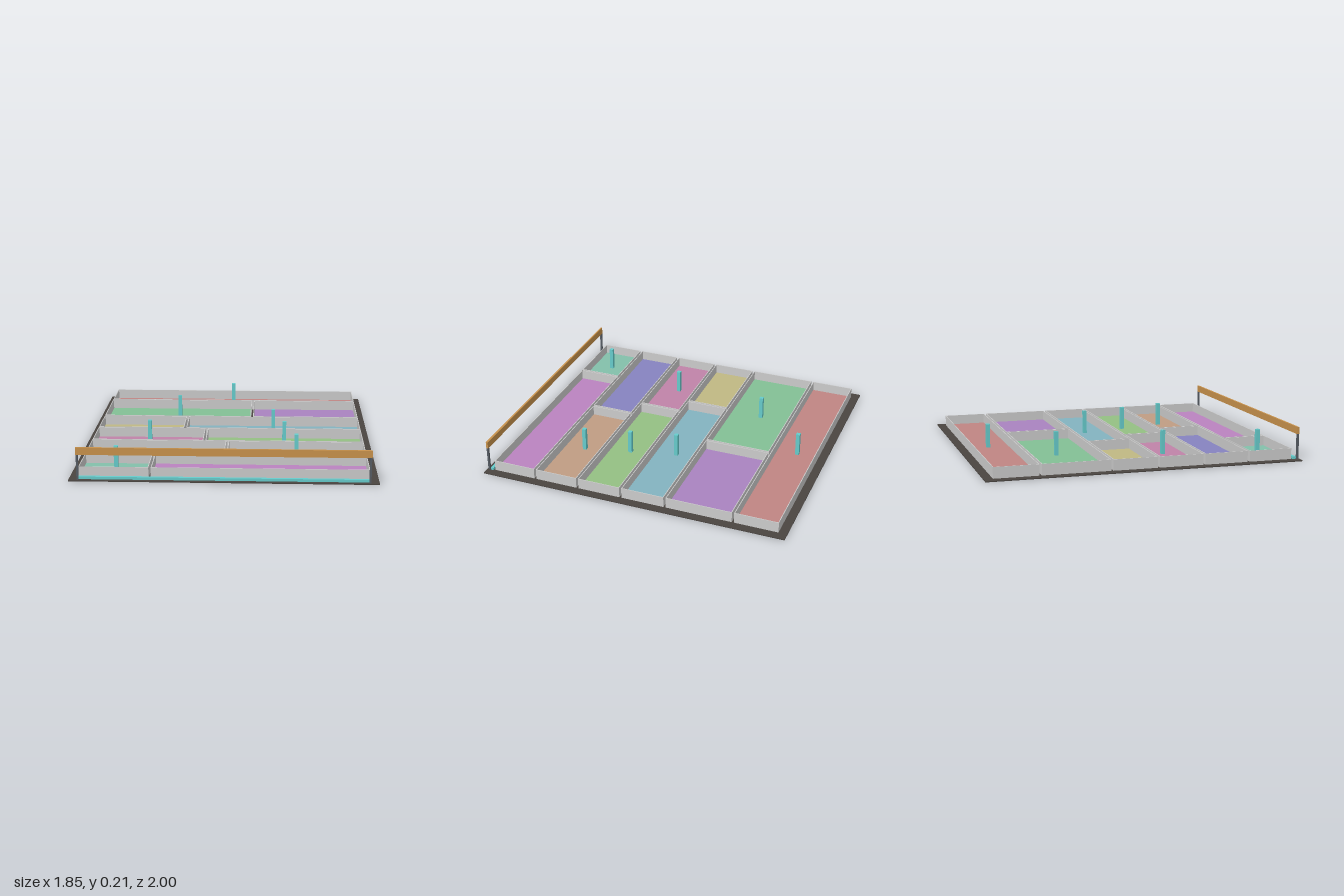
import * as THREE from 'three';

const BASE = 0.006, FLOOR = 0.012, WALL_TOP = 0.075, POLE_TOP = 0.165;
const HALF = 0.87, GAP = 0.014, WALL = 0.005;

function material(color) {
  return new THREE.MeshStandardMaterial({ color });
}

// Box given by its limits on each axis
function box(name, x0, x1, y0, y1, z0, z1, color) {
  const mesh = new THREE.Mesh(new THREE.BoxGeometry(x1 - x0, y1 - y0, z1 - z0), material(color));
  mesh.position.set((x0 + x1) / 2, (y0 + y1) / 2, (z0 + z1) / 2);
  mesh.name = name;
  return mesh;
}

function rectangle(PathType, w, d) {
  return new PathType([[-w, -d], [w, -d], [w, d], [-w, d]].map(([x, y]) => new THREE.Vector2(x / 2, y / 2)));
}

// Open tray: coloured floor inside a thin wall ring, with an optional marker pole
function compartment(x0, x1, z0, z1, color, pole) {
  const group = new THREE.Group();
  group.name = 'compartment';
  const w = x1 - x0, d = z1 - z0;
  const shape = rectangle(THREE.Shape, w, d);
  shape.holes.push(rectangle(THREE.Path, w - 2 * WALL, d - 2 * WALL));
  const ring = new THREE.ExtrudeGeometry(shape, { depth: WALL_TOP - BASE, bevelEnabled: false });
  ring.rotateX(-Math.PI / 2);
  const walls = new THREE.Mesh(ring, material(0xcccccc));
  walls.name = 'walls';
  walls.position.set((x0 + x1) / 2, BASE, (z0 + z1) / 2);
  group.add(walls);
  group.add(box('floor', x0 + WALL, x1 - WALL, BASE, FLOOR, z0 + WALL, z1 - WALL, color));
  if (pole) {
    const cx = (x0 + x1) / 2, cz = (z0 + z1) / 2, r = 0.0125;
    group.add(box('pole', cx - r, cx + r, FLOOR, POLE_TOP, cz - r, cz + r, 0x66cccc));
  }
  return group;
}

export function createModel() {
  const model = new THREE.Group();
  model.add(box('basePlate', -0.925, 0.925, 0, BASE, -1, 1, 0x4a4541));

  // Rows from back to front: z limits, dividing x, then [floor colour, has pole] per compartment
  const rows = [
    { z: [-0.946, -0.667], cells: [[0xbf8583, true]] },
    { z: [-0.653, -0.226], split: 0.145, cells: [[0x83bf95, true], [0xa983bf, false]] },
    { z: [-0.212, 0.067], split: -0.294, cells: [[0xbfb883, false], [0x83b3bf, true]] },
    { z: [0.081, 0.36], split: -0.149, cells: [[0xbf83a8, true], [0x94bf83, true]] },
    { z: [0.374, 0.653], split: 0, cells: [[0x8683bf, false], [0xbf9c83, true]] },
    { z: [0.667, 0.946], split: -0.443, cells: [[0x83bfaa, true], [0xba83bf, false]] },
  ];
  for (const { z, split, cells } of rows) {
    cells.forEach(([color, pole], i) => {
      const x0 = i === 0 ? -HALF : split + GAP / 2;
      const x1 = i === cells.length - 1 ? HALF : split - GAP / 2;
      model.add(compartment(x0, x1, z[0], z[1], color, pole));
    });
  }

  // Front strip and the beam on two posts
  model.add(box('frontStrip', -0.877, 0.877, BASE, 0.022, 0.955, 0.975, 0x66cccc));
  model.add(box('beam', -0.877, 0.877, 0.163, 0.208, 0.981, 0.994, 0xc8924c));
  for (const s of [-1, 1]) {
    const x = s * 0.869;
    model.add(box(s > 0 ? 'leftPost' : 'rightPost', x - 0.006, x + 0.006, BASE, 0.163, 0.981, 0.994, 0x555b63));
  }
  return model;
}
